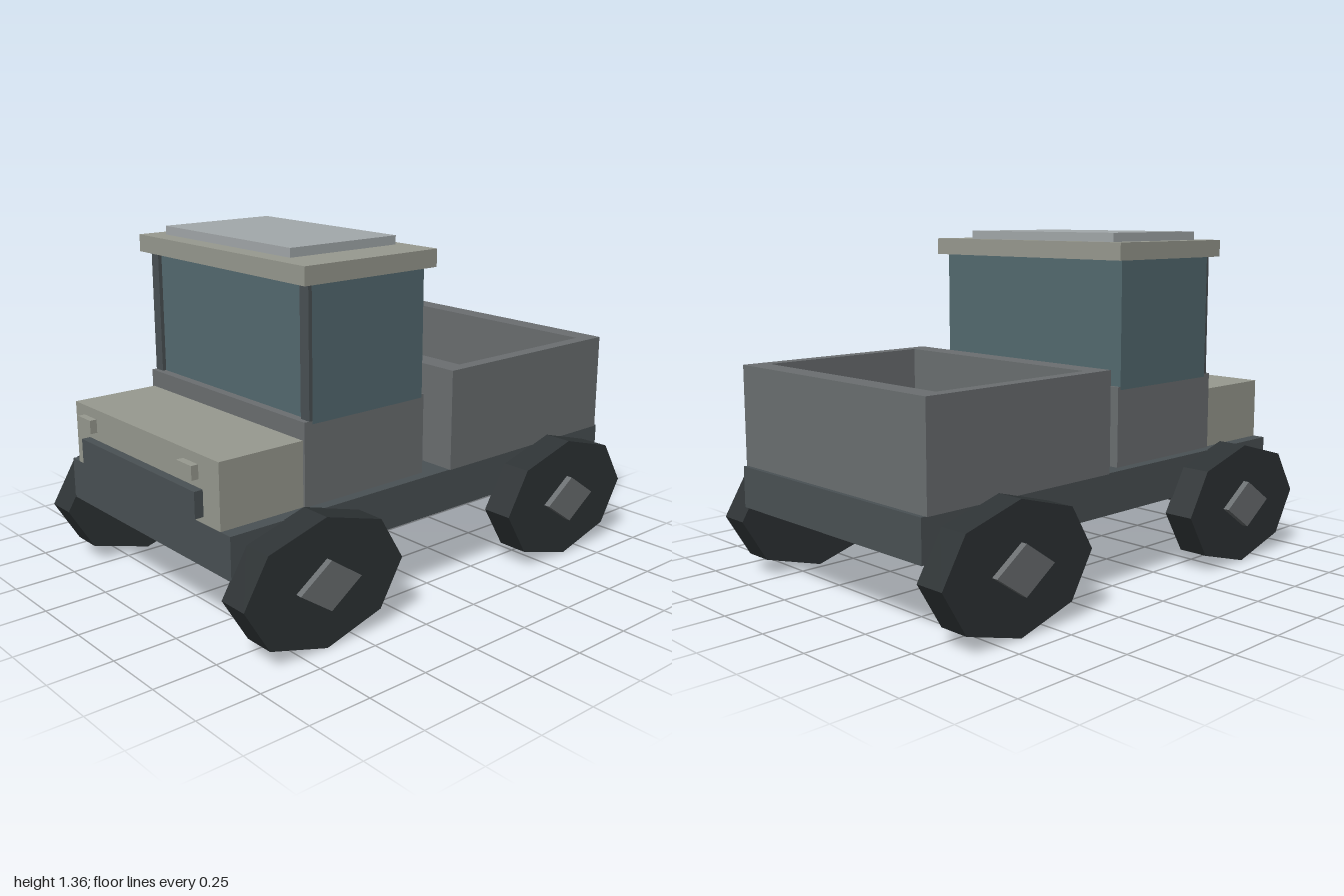
import * as THREE from 'three';

const mat = (color) => new THREE.MeshStandardMaterial({ color, flatShading: true });

export function createModel() {
  const truck = new THREE.Group();
  truck.name = 'truck';
  const tan = mat(0x989a90), grey = mat(0x6b6f71), dark = mat(0x4a5154);
  const rubber = mat(0x2e3335), glass = mat(0x546a70), pale = mat(0xa3a9ab);

  const add = (name, geometry, material) => {
    const mesh = new THREE.Mesh(geometry, material);
    mesh.name = name;
    truck.add(mesh);
    return mesh;
  };

  // Box given by its limits on each axis
  const box = (name, material, [x0, x1], [y0, y1], [z0, z1]) =>
    add(name, new THREE.BoxGeometry(x1 - x0, y1 - y0, z1 - z0), material)
      .position.set((x0 + x1) / 2, (y0 + y1) / 2, (z0 + z1) / 2);

  // Prism lying along x, flattened in height
  const prism = (name, material, sides, ry, rz, [x0, x1], z) => {
    const g = new THREE.CylinderGeometry(rz, rz, x1 - x0, sides);
    g.rotateZ(Math.PI / 2).scale(1, ry / rz, 1);
    add(name, g, material).position.set((x0 + x1) / 2, 0.246, z);
  };

  // Body
  box('chassis', dark, [-0.535, 0.535], [0.303, 0.465], [-0.98, 0.953]);
  box('hood', tan, [-0.483, 0.48], [0.465, 0.71], [0.58, 0.953]);
  box('lowerCab', grey, [-0.493, 0.49], [0.465, 0.777], [0.028, 0.6]);
  box('grille', dark, [-0.385, 0.382], [0.49, 0.588], [0.953, 0.988]);

  // Cab windows, pillars and roof
  box('cabGlass', glass, [-0.494, 0.492], [0.765, 1.256], [0.04, 0.565]);
  box('roof', tan, [-0.52, 0.517], [1.256, 1.323], [0, 0.615]);
  box('roofPanel', pale, [-0.447, 0.343], [1.323, 1.357], [0.042, 0.538]);
  for (const s of [-1, 1]) {
    const span = (a, b) => (s > 0 ? [a, b] : [-b, -a]);
    box('windscreenPillar', dark, span(0.445, 0.492), [0.777, 1.256], [0.555, 0.58]);
    box('headlight', tan, span(0.295, 0.385), [0.63, 0.682], [0.97, 0.998]);
  }

  // Open cargo bed: floor and a rectangular wall ring
  const ring = new THREE.Shape();
  ring.moveTo(-0.545, 0.075).lineTo(0.54, 0.075).lineTo(0.54, 0.963).lineTo(-0.545, 0.963).closePath();
  const hole = new THREE.Path();
  hole.moveTo(-0.492, 0.165).lineTo(-0.492, 0.875).lineTo(0.487, 0.875).lineTo(0.487, 0.165).closePath();
  ring.holes.push(hole);
  const walls = new THREE.ExtrudeGeometry(ring, { depth: 0.393, bevelEnabled: false });
  walls.rotateX(-Math.PI / 2);
  add('bedWalls', walls, grey).position.y = 0.465;
  box('bedFloor', grey, [-0.5, 0.495], [0.465, 0.55], [-0.88, -0.16]);

  // Axles, wheels and hubs
  for (const z of [0.638, -0.645]) {
    prism('axle', rubber, 6, 0.048, 0.07, [-0.54, 0.54], z);
    for (const s of [-1, 1]) {
      const span = (a, b) => (s > 0 ? [a, b] : [-b, -a]);
      prism('wheel', rubber, 8, 0.244, 0.353, span(0.53, 0.655), z);
      prism('hub', grey, 4, 0.094, 0.136, span(0.6, 0.68), z);
    }
  }
  return truck;
}
